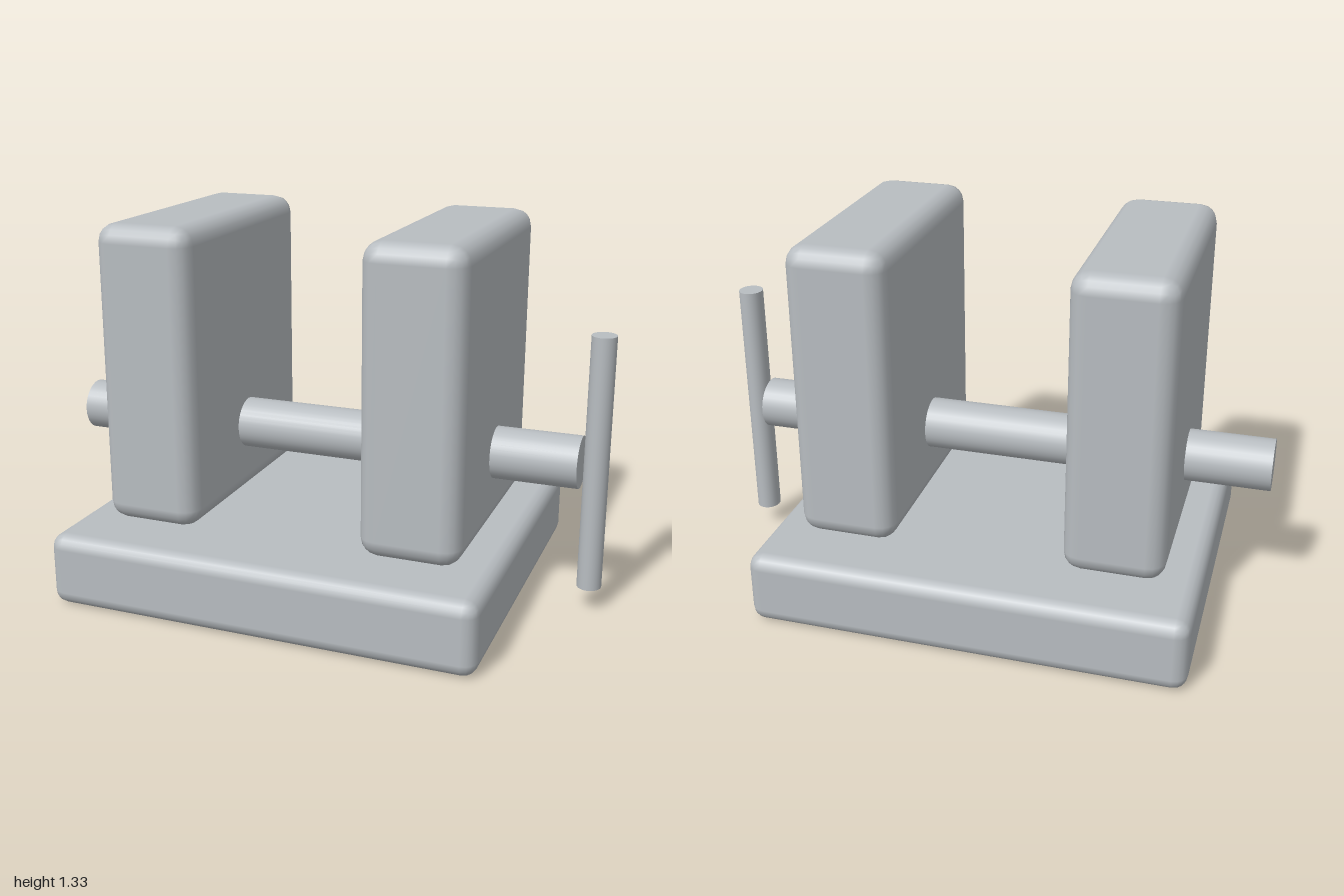
import * as THREE from 'three';
import { RoundedBoxGeometry } from 'three/addons/geometries/RoundedBoxGeometry.js';

export function createModel() {
  const model = new THREE.Group();
  model.name = 'benchVise';

  const steel = new THREE.MeshStandardMaterial({ color: 0xb8bdc1 });
  steel.name = 'steel grey';

  const add = (name, geometry, x, y, z) => {
    const mesh = new THREE.Mesh(geometry, steel);
    mesh.name = name;
    mesh.position.set(x, y, z);
    model.add(mesh);
    return mesh;
  };

  // Base slab with softened edges
  add('base', new RoundedBoxGeometry(1.545, 0.262, 1.33, 2, 0.05), -0.048, 0.132, 0);

  // Pair of upright jaws
  for (const [name, x] of [['fixedJaw', -0.524], ['movingJaw', 0.429]]) {
    add(name, new RoundedBoxGeometry(0.353, 1.064, 0.932, 2, 0.065), x, 0.8, 0);
  }

  // Screw running through both jaws
  const screw = new THREE.CylinderGeometry(0.0925, 0.0925, 1.906, 32);
  screw.rotateZ(Math.PI / 2);
  add('screw', screw, -0.047, 0.537, 0);

  // Upright turning handle, slightly oval in section
  const handle = new THREE.CylinderGeometry(0.043, 0.043, 0.905, 24);
  handle.scale(1, 1, 1.1);
  add('handle', handle, 0.957, 0.537, 0);

  return model;
}
